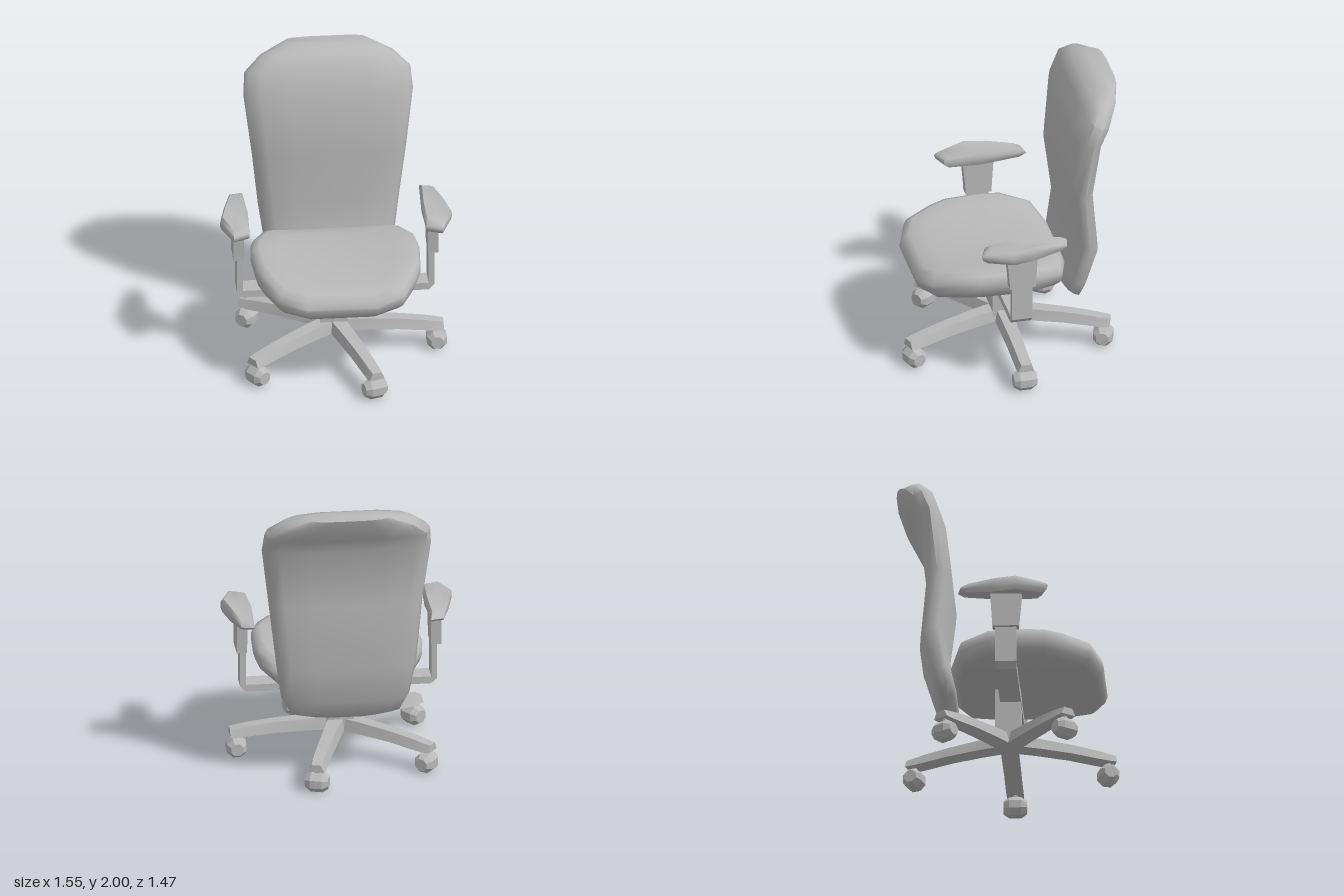
import * as THREE from 'three';
import { toCreasedNormals } from 'three/addons/utils/BufferGeometryUtils.js';

const grey = new THREE.MeshStandardMaterial({ color: 0xb8b8b8 });
grey.name = 'grey';

// Skin a list of equal-length rings, capped at both ends and facing outwards.
function loft(rings, crease) {
  const n = rings[0].length;
  const pos = [];
  let idx = [];
  rings.forEach((r) => r.forEach((p) => pos.push(...p)));
  for (let i = 0; i < rings.length - 1; i++) {
    for (let j = 0; j < n; j++) {
      const a = i * n + j, b = i * n + (j + 1) % n;
      idx.push(a, b, b + n, a, b + n, a + n);
    }
  }
  [0, rings.length - 1].forEach((i) => {
    const c = pos.length / 3;
    for (let k = 0; k < 3; k++) pos.push(rings[i].reduce((s, p) => s + p[k], 0) / n);
    for (let j = 0; j < n; j++) {
      const a = i * n + j, b = i * n + (j + 1) % n;
      if (i === 0) idx.push(b, a, c);
      else idx.push(a, b, c);
    }
  });
  // A negative volume means the skin is inside out.
  const v = (i) => new THREE.Vector3().fromArray(pos, i * 3);
  let volume = 0;
  for (let i = 0; i < idx.length; i += 3) volume += v(idx[i]).dot(v(idx[i + 1]).cross(v(idx[i + 2])));
  if (volume < 0) idx = idx.reverse();
  const g = new THREE.BufferGeometry();
  g.setAttribute('position', new THREE.Float32BufferAttribute(pos, 3));
  g.setIndex(idx);
  g.computeVertexNormals();
  return crease ? toCreasedNormals(g, crease) : g;
}

function add(parent, name, geometry, x = 0, y = 0, z = 0) {
  const m = new THREE.Mesh(geometry, grey);
  m.name = name;
  m.position.set(x, y, z);
  parent.add(m);
  return m;
}

// Seat: rounded outline swept through heights, dished up at the sides.
function seatGeometry() {
  const half = [[0.235, 0.64], [0.42, 0.57], [0.51, 0.39], [0.55, 0.27], [0.565, 0.02],
    [0.55, -0.12], [0.46, -0.31], [0.235, -0.375]];
  const outline = [...half, ...half.map(([x, z]) => [-x, z]).reverse()];
  const layers = [[0.5, 0.57], [0.9, 0.57], [0.97, 0.6], [1, 0.645], [1, 0.69],
    [0.97, 0.735], [0.89, 0.765], [0.7, 0.78], [0.35, 0.785]];
  return loft(layers.map(([s, y]) => outline.map(([px, pz]) => {
    const x = px * s, z = 0.13 + (pz - 0.13) * s;
    const lift = 0.08 * Math.pow(Math.abs(x) / 0.565, 2.5);
    const drop = y > 0.68 ? 0.025 * Math.pow(Math.abs(z - 0.13) / 0.5, 3) : 0;
    return [x, y + lift - drop, z];
  })));
}

// Backrest: rows of front height, front z, back height, back z, half width.
function backGeometry() {
  const rows = [
    [0.50, -0.36, 0.43, -0.435, 0.25], [0.54, -0.345, 0.46, -0.47, 0.38],
    [0.62, -0.365, 0.57, -0.505, 0.43], [0.90, -0.41, 0.83, -0.585, 0.47],
    [1.28, -0.365, 1.28, -0.54, 0.515], [1.70, -0.41, 1.70, -0.59, 0.567],
    [1.88, -0.47, 1.80, -0.645, 0.555], [1.97, -0.535, 1.90, -0.71, 0.44],
    [2.0, -0.62, 1.985, -0.745, 0.27]];
  // Cross-section: share of width, share of depth from front to back.
  const half = [[0.45, 0], [0.8, 0.1], [0.95, 0.25], [1, 0.5], [0.95, 0.8], [0.8, 0.92], [0.45, 1]];
  const section = [...half, ...half.map(([x, t]) => [-x, t]).reverse()];
  return loft(rows.map(([yf, zf, yb, zb, w]) =>
    section.map(([x, t]) => [x * w, yf + (yb - yf) * t, zf + (zb - zf) * t])), 1.0);
}

// Arm pad: tapered outline with softened top and bottom edges.
function padGeometry() {
  const outline = [[0.59, -0.31], [0.68, -0.29], [0.735, -0.08], [0.775, 0.10], [0.70, 0.297],
    [0.59, 0.255], [0.578, 0]];
  const layers = [[0.85, 1.0], [0.97, 1.025], [1, 1.05], [0.97, 1.078], [0.82, 1.1]];
  return loft(layers.map(([s, y]) => outline.map(([x, z]) => [
    0.67 + (x - 0.67) * s,
    y + (y < 1.03 && z < -0.2 ? 0.02 : 0) - (y > 1.06 && Math.abs(z) > 0.2 ? 0.015 : 0),
    z * s])), 0.9);
}

// Sleeve below the pad, flaring towards the top.
function sleeveGeometry() {
  return loft([[0.77, 0.10, -0.075], [0.85, 0.105, -0.08], [1.01, 0.12, -0.09]].map(([y, a, b]) =>
    [[0.615, y, a], [0.685, y, a], [0.685, y, b], [0.615, y, b]]), 0.4);
}

// U-shaped bar that passes below the seat and carries both arms.
function armBarGeometry() {
  const s = new THREE.Shape([[-0.66, 0.78], [-0.66, 0.52], [-0.62, 0.48], [0.62, 0.48], [0.66, 0.52],
    [0.66, 0.78], [0.62, 0.78], [0.62, 0.53], [-0.62, 0.53], [-0.62, 0.78]]
    .map(([x, y]) => new THREE.Vector2(x, y)));
  return new THREE.ExtrudeGeometry(s, { depth: 0.14, bevelEnabled: false }).translate(0, 0, -0.057);
}

// Base leg along +x: radius, top, bottom, half widths at top and bottom.
function legGeometry() {
  return loft([[0, 0.265, 0.18, 0.05, 0.06], [0.2, 0.258, 0.18, 0.045, 0.06],
    [0.42, 0.243, 0.172, 0.04, 0.058], [0.6, 0.222, 0.155, 0.037, 0.058],
    [0.665, 0.21, 0.15, 0.036, 0.058], [0.725, 0.2, 0.15, 0.032, 0.055]]
    .map(([x, t, b, wt, wb]) => [[x, t, wt], [x, t, -wt], [x, b, -wb], [x, b, wb]]), 0.4);
}

// Caster: eight-sided barrel with chamfered ends, lying along z.
function casterGeometry() {
  const profile = [[0, -0.078], [0.045, -0.078], [0.071, -0.04], [0.071, 0.04], [0.045, 0.078], [0, 0.078]];
  const g = new THREE.LatheGeometry(profile.map(([r, y]) => new THREE.Vector2(r, y)), 8);
  g.rotateY(Math.PI / 8).rotateX(Math.PI / 2);
  return toCreasedNormals(g, 0.3);
}

export function createModel() {
  const chair = new THREE.Group();
  chair.name = 'officeChair';
  add(chair, 'seat', seatGeometry());
  add(chair, 'backrest', backGeometry());
  add(chair, 'column', new THREE.BoxGeometry(0.18, 0.36, 0.17), -0.01, 0.4, -0.005);
  add(chair, 'armBar', armBarGeometry());

  // Arms, mirrored by turning the outline over.
  const pad = padGeometry(), sleeve = sleeveGeometry();
  const mirrored = (g) => {
    const m = (g.index ? g.toNonIndexed() : g.clone()).scale(-1, 1, 1);
    for (const a of Object.values(m.attributes)) {
      for (let i = 0; i < a.count; i += 3) {
        const p = new THREE.Vector3().fromBufferAttribute(a, i + 1);
        const q = new THREE.Vector3().fromBufferAttribute(a, i + 2);
        a.setXYZ(i + 1, q.x, q.y, q.z);
        a.setXYZ(i + 2, p.x, p.y, p.z);
      }
    }
    return m;
  };
  add(chair, 'leftArmPad', pad);
  add(chair, 'leftArmSleeve', sleeve);
  add(chair, 'rightArmPad', mirrored(pad));
  add(chair, 'rightArmSleeve', mirrored(sleeve));

  // Five-legged base with casters, one leg pointing to the left side.
  const leg = legGeometry(), caster = casterGeometry();
  const stem = new THREE.CylinderGeometry(0.02, 0.02, 0.08, 8);
  for (let i = 0; i < 5; i++) {
    const arm = new THREE.Group();
    arm.name = 'baseLeg' + (i + 1);
    arm.rotation.y = i * Math.PI * 2 / 5;
    add(arm, 'leg', leg);
    add(arm, 'casterStem', stem, 0.68, 0.13, 0);
    add(arm, 'caster', caster, 0.68, 0.066, 0);
    chair.add(arm);
  }
  return chair;
}
